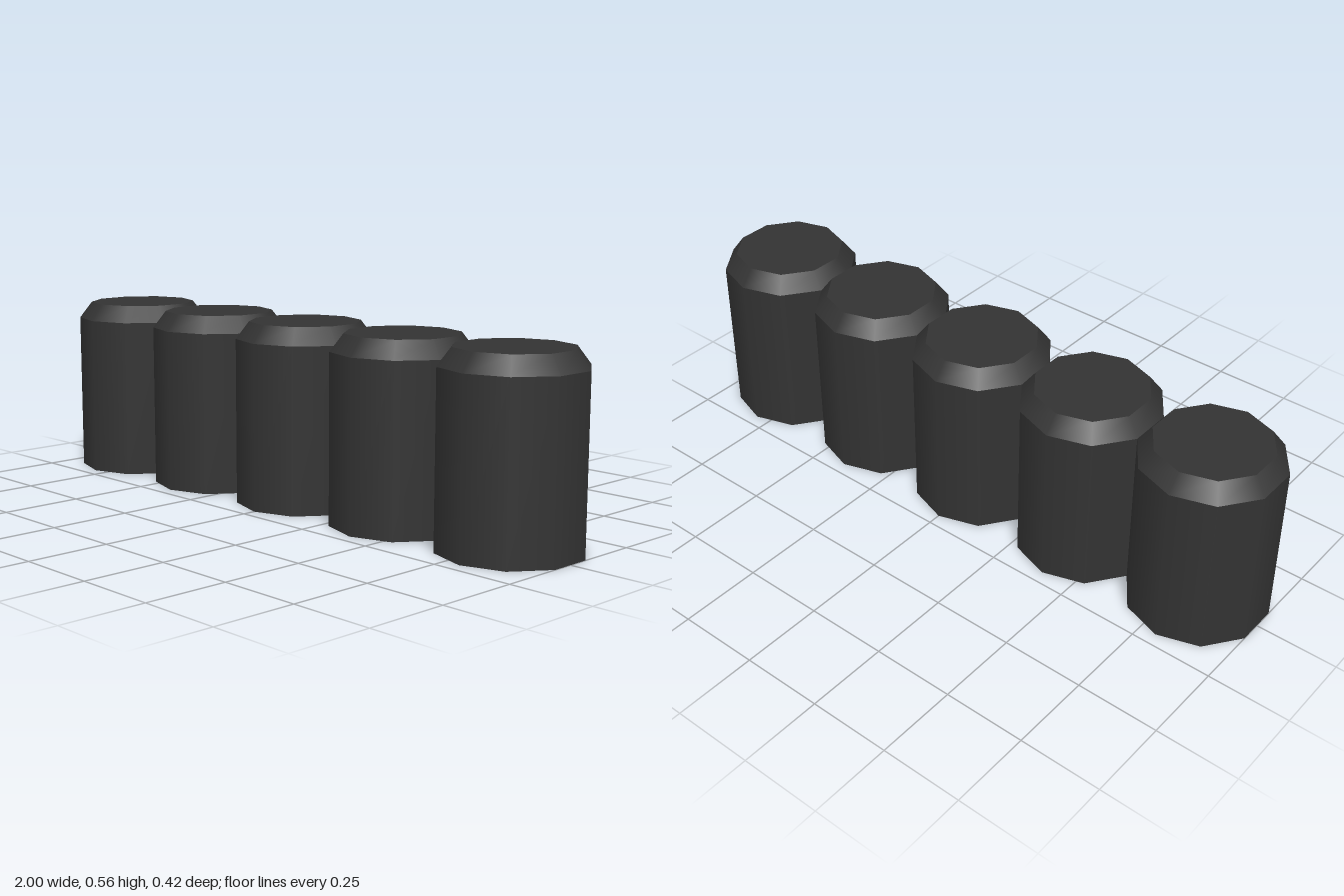
import * as THREE from 'three';

const SIDES = 10;
const RADIUS = 0.21;
const TOP_RADIUS = 0.17;
const SHOULDER = 0.503; // height where the bevel begins
const HEIGHT = 0.555;
const COUNT = 5;
const SPACING = 0.4;

export function createModel() {
  const model = new THREE.Group();
  model.name = 'postRow';

  const charcoal = new THREE.MeshStandardMaterial({ color: 0x333333 });
  charcoal.name = 'charcoal';

  // Smooth upright wall and bevelled rim, each with its own normals
  const wall = new THREE.CylinderGeometry(RADIUS, RADIUS, SHOULDER, SIDES, 1, true);
  wall.translate(0, SHOULDER / 2, 0);
  const bevel = new THREE.CylinderGeometry(TOP_RADIUS, RADIUS, HEIGHT - SHOULDER, SIDES, 1, true);
  bevel.translate(0, (HEIGHT + SHOULDER) / 2, 0);

  // Flat ends, turned so a corner points to the front
  const top = new THREE.CircleGeometry(TOP_RADIUS, SIDES, Math.PI / 2);
  top.rotateX(-Math.PI / 2).translate(0, HEIGHT, 0);
  const base = new THREE.CircleGeometry(RADIUS, SIDES, Math.PI / 2);
  base.rotateX(Math.PI / 2);

  const parts = { wall, bevel, top, base };

  // Row of identical posts standing side by side
  for (let i = 0; i < COUNT; i++) {
    const post = new THREE.Group();
    post.name = `post${i + 1}`;
    post.position.x = (i - (COUNT - 1) / 2) * SPACING;
    for (const [name, geometry] of Object.entries(parts)) {
      const mesh = new THREE.Mesh(geometry, charcoal);
      mesh.name = name;
      post.add(mesh);
    }
    model.add(post);
  }
  return model;
}
